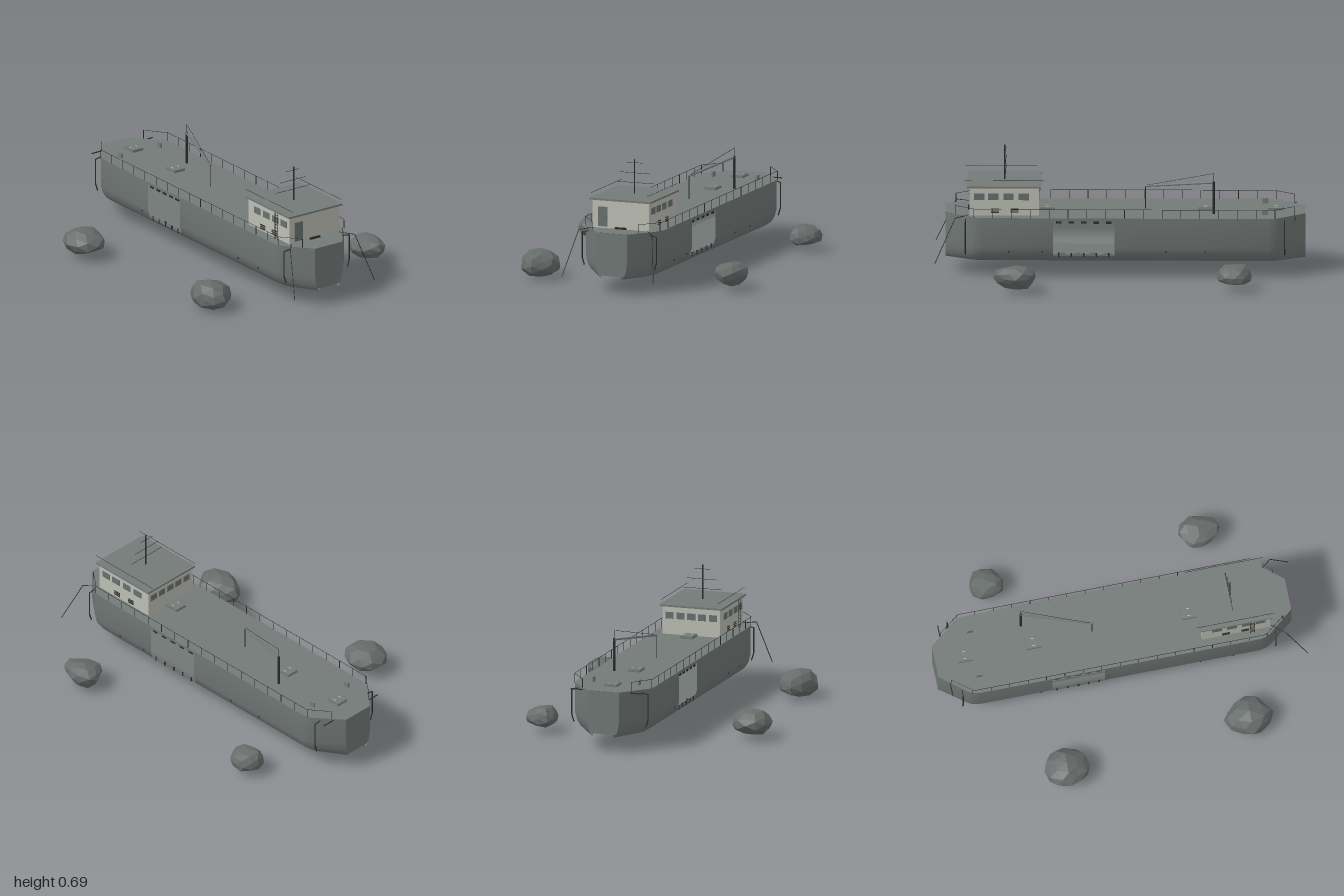
import * as THREE from 'three';
import { toCreasedNormals } from 'three/addons/utils/BufferGeometryUtils.js';

const mat = (name, color, side = THREE.FrontSide) => {
  const m = new THREE.MeshStandardMaterial({ color, side });
  m.name = name;
  return m;
};

export function createModel() {
  const hullGrey = mat('hull grey', 0x707775, THREE.DoubleSide);
  const deckGrey = mat('deck grey', 0x737a78, THREE.DoubleSide);
  const cabinCream = mat('cabin cream', 0xbcbeb3);
  const steel = mat('dark steel', 0x2a2d2d);
  const glass = mat('window grey', 0x687070);
  const rockGrey = mat('rock grey', 0x666c6a);

  const root = new THREE.Group();
  const ship = new THREE.Group();
  ship.name = 'barge';
  ship.position.x = 0.061;
  root.add(ship);

  const add = (name, geo, m, parent = ship) => {
    const mesh = new THREE.Mesh(geo, m);
    mesh.name = name;
    parent.add(mesh);
    return mesh;
  };
  const box = (name, w, h, d, x, y, z, m) => {
    const b = add(name, new THREE.BoxGeometry(w, h, d), m);
    b.position.set(x, y, z);
    return b;
  };
  const rod = (name, a, b, r, m = steel) => {
    const p = new THREE.Vector3(...a), q = new THREE.Vector3(...b);
    const c = add(name, new THREE.CylinderGeometry(r, r, p.distanceTo(q), 6), m);
    c.position.copy(p).add(q).multiplyScalar(0.5);
    c.quaternion.setFromUnitVectors(new THREE.Vector3(0, 1, 0), q.sub(p).normalize());
    return c;
  };

  // Hull stations (z, half width); the breaches start and end on stations
  const stations = [[-1, 0.09], [-0.86, 0.205], [-0.835, 0.218], [-0.8, 0.225], [-0.4, 0.225], [-0.11, 0.225],
    [0.03, 0.225], [0.36, 0.225], [0.745, 0.225], [0.78, 0.218], [0.805, 0.205], [0.945, 0.09]];
  const breach = { 1: [0.03, 0.36], '-1': [-0.4, -0.11] };
  const rows = [[0.335, 0], [0.32, 0], [0.17, 0], [0.13, 0.012], [0.105, 0.03], [0.09, 0.05], [0.085, 0.07]];
  // Rolled bilge ends in a lip just below the flat bottom plate
  const section = (z, w, s) => {
    const k = 0.45 + 0.55 * (w - 0.09) / 0.135;
    const pts = rows.map(([y, inset]) => [s * (w - inset * k), y, z]);
    return [...pts, [s * (w - 0.073 * k), 0.1, z], [0, 0.1, z]];
  };
  const pos = [];
  const quad = (a, b, c, d, flip) => {
    for (const p of flip ? [a, c, b, a, d, c] : [a, b, c, a, c, d]) pos.push(...p);
  };
  for (const s of [1, -1]) {
    const rings = stations.map(([z, w]) => section(z, w, s));
    for (let i = 0; i < rings.length - 1; i++) {
      for (let j = 0; j < rings[i].length - 1; j++) {
        const open = (j === 1 || j === 2) && stations[i][0] >= breach[s][0] && stations[i + 1][0] <= breach[s][1];
        if (!open) quad(rings[i][j], rings[i + 1][j], rings[i + 1][j + 1], rings[i][j + 1], s < 0);
      }
    }
  }
  // Flat bow and stern, closed down to the bottom plate
  for (const [z, w] of [stations[0], stations[stations.length - 1]]) {
    const [r, l] = [1, -1].map(s => section(z, w, s).slice(0, 6).map(([x, y]) => [x, Math.max(y, 0.1), z]));
    for (let j = 0; j < r.length - 1; j++) quad(r[j], l[j], l[j + 1], r[j + 1], z < 0);
  }
  const hull = new THREE.BufferGeometry();
  hull.setAttribute('position', new THREE.Float32BufferAttribute(pos, 3));
  add('hull', toCreasedNormals(hull, 0.6), hullGrey);

  // Deck
  const outline = [...stations.map(([z, w]) => new THREE.Vector2(w, -z)),
    ...[...stations].reverse().map(([z, w]) => new THREE.Vector2(-w, -z))];
  const deck = add('deck', new THREE.ShapeGeometry(new THREE.Shape(outline)).rotateX(-Math.PI / 2), deckGrey);
  deck.position.y = 0.336;

  // Torn plating and exposed frames at each breach
  for (const s of [1, -1]) {
    const [z0, z1] = breach[s];
    const n = 12, tear = new THREE.Shape();
    tear.moveTo(z0, 0.125);
    for (let i = 0; i <= n; i++) tear.lineTo(z0 + (z1 - z0) * i / n, 0.13 + 0.014 * ((i * 5) % 3) / 2);
    tear.lineTo(z1, 0.125);
    const torn = add('tornPlating', new THREE.ShapeGeometry(tear).rotateY(-Math.PI / 2), hullGrey);
    torn.position.x = s * 0.214;
    for (let i = 0; i < 5; i++) {
      const z = z0 + 0.03 + i * (z1 - z0 - 0.06) / 4;
      box('frameRib', 0.006, 0.15, 0.004, -s * 0.219, 0.245, z, hullGrey);
      box('deckBeam', 0.42, 0.008, 0.006, 0, 0.33, z, hullGrey);
      box('tornStub', 0.006, 0.022, 0.008, s * 0.213, 0.13, z, steel);
      box('hangingStub', 0.005, 0.014, 0.03, s * 0.22, 0.313, z, steel);
    }
  }

  // Side fittings: railings, fender pipes, anchor chains, drain holes
  const halfWidth = z => Math.min(0.223, 0.09 + 0.82 * (z < 0 ? z + 1 : 0.945 - z));
  for (const s of [1, -1]) {
    const path = [0.89, 0.78, -0.83, -0.94].map(z => [s * halfWidth(z), 0.384, z]);
    for (let i = 0; i < 3; i++) rod('handRail', path[i], path[i + 1], 0.0013);
    for (let i = 0; i <= 18; i++) {
      const z = 0.89 - i * 1.83 / 18, x = s * halfWidth(z);
      rod('railPost', [x, 0.335, z], [x, 0.384, z], 0.0016);
    }
    for (const z of [0.835, -0.89]) {
      rod('fenderArm', [s * 0.165, 0.322, z], [s * 0.218, 0.312, z], 0.003);
      rod('fenderPipe', [s * 0.218, 0.312, z], [s * 0.218, 0.17, z], 0.0035);
      rod('fenderPipeFoot', [s * 0.218, 0.17, z], [s * 0.205, 0.13, z], 0.0035);
    }
    rod('sternBoom', [s * 0.135, 0.325, -0.945], [s * 0.205, 0.325, -0.945], 0.003);
    rod('chainLead', [s * 0.16, 0.337, 0.82], [s * 0.215, 0.332, 0.89], 0.0022);
    rod('anchorChain', [s * 0.215, 0.332, 0.89], [s * 0.267, 0.09, 1], 0.0022);
    for (const z of [-0.25, -0.46, 0.42, 0.6]) box('drainHole', 0.006, 0.008, 0.008, s * 0.219, 0.148, z, steel);
    box('bollard', 0.01, 0.028, 0.032, s * 0.13, 0.35, -0.782, deckGrey);
  }

  // Deck hatches
  for (const z of [0.395, -0.46, -0.84]) {
    box('hatchCoaming', 0.07, 0.012, 0.085, 0, 0.341, z, deckGrey);
    box('hatchCover', 0.064, 0.004, 0.079, 0, 0.348, z, deckGrey);
    for (const s of [1, -1]) box('hatchHandle', 0.004, 0.004, 0.018, s * 0.02, 0.35, z, cabinCream);
  }

  // Wheelhouse with roof, windows, door, vents and ladder
  box('cabin', 0.33, 0.155, 0.375, 0, 0.412, 0.626, cabinCream);
  box('roof', 0.356, 0.01, 0.4, 0, 0.494, 0.627, deckGrey);
  box('frontDoor', 0.054, 0.108, 0.006, -0.105, 0.399, 0.814, glass);
  box('doorHandle', 0.003, 0.008, 0.006, -0.083, 0.395, 0.816, steel);
  box('frontStep', 0.065, 0.01, 0.012, 0, 0.341, 0.818, steel);
  for (const s of [1, -1]) {
    for (const z of [0.76, 0.685, 0.602, 0.52]) box('sideWindow', 0.006, 0.036, 0.056, s * 0.165, 0.44, z, glass);
    for (const z of [0.675, 0.57]) {
      for (let i = 0; i < 3; i++) box('ventSlat', 0.006, 0.004, 0.042, s * 0.166, 0.352 + i * 0.01, z, steel);
    }
    rod('roofWire', [s * 0.163, 0.53, 0.41], [s * 0.163, 0.53, 0.84], 0.0012);
  }
  for (let i = -2; i <= 2; i++) box('rearWindow', 0.046, 0.036, 0.006, i * 0.062, 0.44, 0.439, glass);
  for (const z of [0.7, 0.725]) rod('ladderRail', [-0.18, 0.336, z], [-0.18, 0.49, z], 0.0018);
  for (let i = 0; i < 8; i++) rod('ladderRung', [-0.18, 0.35 + i * 0.018, 0.7], [-0.18, 0.35 + i * 0.018, 0.725], 0.0015);

  // Mast and cross arms
  rod('mast', [0, 0.495, 0.625], [0, 0.69, 0.625], 0.0035);
  for (const [y, r] of [[0.668, 0.045], [0.612, 0.086], [0.559, 0.112]]) {
    rod('crossArm', [-r, y, 0.618], [r, y, 0.618], 0.0012);
  }

  // Cargo crane
  rod('cranePost', [0.11, 0.335, -0.505], [0.11, 0.515, -0.505], 0.007);
  rod('craneTopPost', [0.11, 0.51, -0.505], [0.11, 0.56, -0.505], 0.0015);
  rod('craneBoom', [0.11, 0.51, -0.51], [0, 0.462, -0.135], 0.006, deckGrey);
  rod('boomStay', [0.11, 0.56, -0.505], [0, 0.465, -0.135], 0.0012);
  rod('hoistLine', [0, 0.462, -0.135], [0, 0.336, -0.135], 0.002);

  // Faceted rocks fitted to their sizes: [centre], [size], seed
  const rocks = [
    [[-0.488, 0.08, 0.615], [0.225, 0.16, 0.275], 1], [[-0.587, 0.092, -0.405], [0.225, 0.145, 0.25], 2],
    [[0.597, 0.085, 0.565], [0.185, 0.135, 0.23], 3], [[0.538, 0.088, -0.622], [0.165, 0.11, 0.185], 4]];
  for (const [centre, size, seed] of rocks) {
    const geo = new THREE.IcosahedronGeometry(1, 1);
    const p = geo.attributes.position, v = new THREE.Vector3();
    for (let i = 0; i < p.count; i++) {
      v.fromBufferAttribute(p, i);
      const n = Math.sin(v.x * 5.1 + seed * 2.3) + Math.sin(v.y * 4.3 + seed * 4.1) + Math.sin(v.z * 4.7 + seed);
      v.multiplyScalar(1 + 0.06 * n);
      p.setXYZ(i, v.x, v.y, v.z);
    }
    geo.center();
    geo.boundingBox.getSize(v);
    geo.scale(size[0] / v.x, size[1] / v.y, size[2] / v.z);
    geo.computeVertexNormals();
    add('rock', geo, rockGrey, root).position.set(...centre);
  }
  return root;
}
